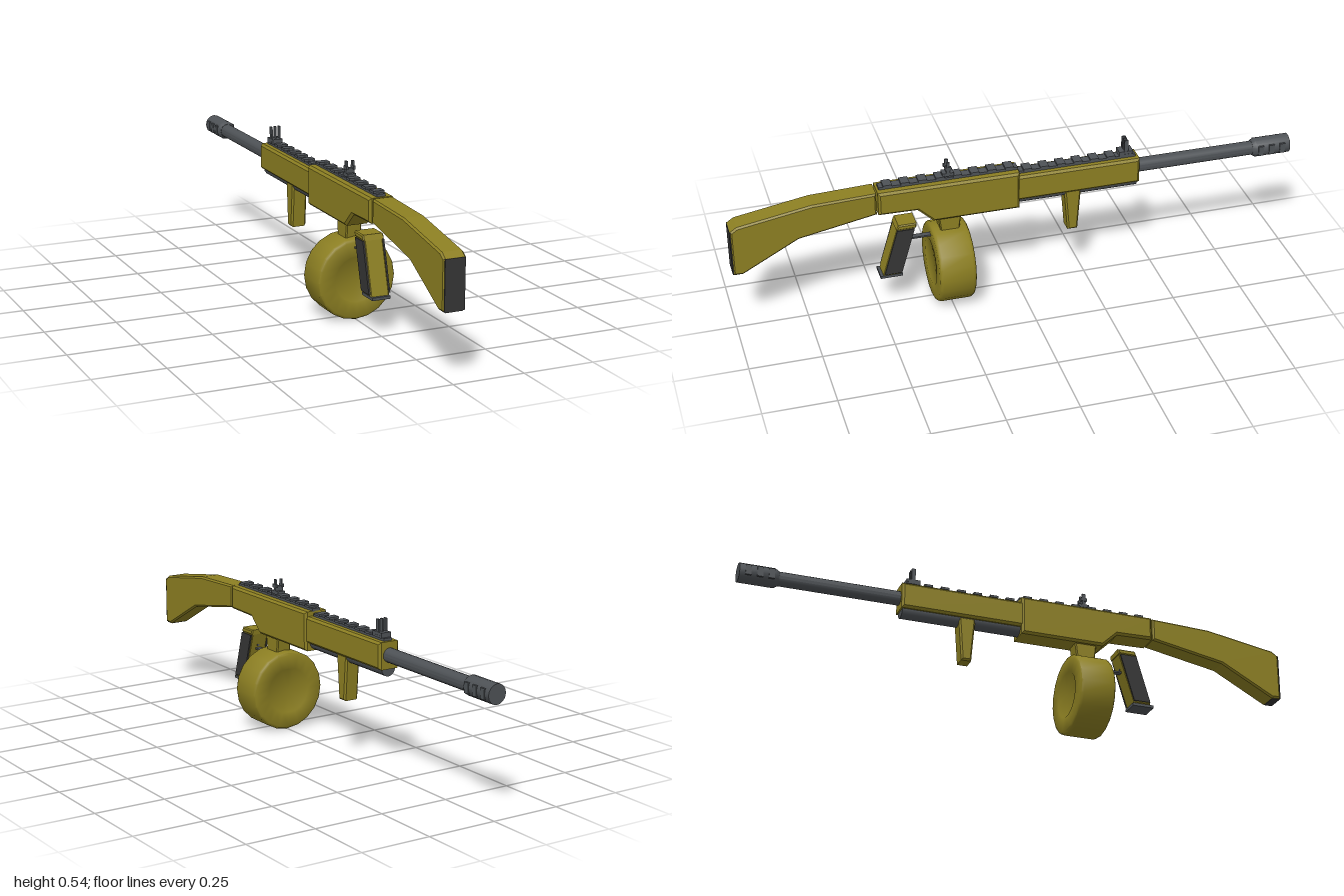
import * as THREE from 'three';
import { toCreasedNormals } from 'three/addons/utils/BufferGeometryUtils.js';

export function createModel() {
  const model = new THREE.Group();
  model.name = 'toyLauncher';
  const olive = new THREE.MeshStandardMaterial({ color: 0x8c7f22 });
  const steel = new THREE.MeshStandardMaterial({ color: 0x4e5256 });
  const rubber = new THREE.MeshStandardMaterial({ color: 0x353535 });
  olive.name = 'olive';
  steel.name = 'steel';
  rubber.name = 'rubber';

  const add = (name, geometry, material, x = 0, y = 0, z = 0) => {
    const mesh = new THREE.Mesh(geometry, material);
    mesh.name = name;
    mesh.position.set(x, y, z);
    model.add(mesh);
    return mesh;
  };
  const box = (name, material, w, h, d, x, y, z) =>
    add(name, new THREE.BoxGeometry(w, h, d), material, x, y, z);

  // Side profile of [z, y] points, extruded across x with a chamfered edge
  const slab = (name, material, points, width, bevel = 0, x = 0) => {
    const shape = new THREE.Shape(points.map(([z, y]) => new THREE.Vector2(z, y)));
    const depth = width - 2 * bevel;
    const geometry = new THREE.ExtrudeGeometry(shape, {
      depth, bevelEnabled: bevel > 0, bevelSize: bevel, bevelThickness: bevel,
      bevelOffset: -bevel, bevelSegments: 1,
    });
    geometry.translate(0, 0, -depth / 2).rotateY(-Math.PI / 2);
    return add(name, geometry, material, x);
  };

  // Lathed part around the z axis from [radius, z] points, rear to front
  const turned = (name, material, points, sides, y) => {
    const geometry = new THREE.LatheGeometry(points.map(([r, z]) => new THREE.Vector2(r, z)), sides);
    geometry.rotateX(Math.PI / 2);
    return add(name, toCreasedNormals(geometry, 0.6), material, 0, y);
  };

  // Stock with its butt pad
  slab('stock', olive, [
    [0.5, 0.39], [0.77, 0.34], [0.965, 0.235], [0.998, 0.237],
    [0.998, 0.405], [0.975, 0.421], [0.72, 0.464], [0.5, 0.472],
  ], 0.078, 0.006);
  box('buttPad', rubber, 0.07, 0.168, 0.006, 0, 0.321, 0.997);
  box('buttToe', rubber, 0.062, 0.004, 0.03, 0, 0.2355, 0.982);

  // Receiver
  slab('receiver', olive, [
    [0.0, 0.333], [0.305, 0.333], [0.36, 0.385], [0.495, 0.388],
    [0.495, 0.473], [0.0, 0.473],
  ], 0.09, 0.008);

  // Fore-end and the tube beneath it
  slab('foreEnd', olive, [
    [-0.435, 0.362], [0.01, 0.362], [0.01, 0.456], [-0.435, 0.456],
  ], 0.08, 0.008);
  turned('lowerTube', steel, [[0, -0.43], [0.027, -0.43], [0.027, 0.01], [0, 0.01]], 16, 0.363);

  // Front grip, tapering downward
  slab('frontGrip', olive, [
    [-0.215, 0.203], [-0.179, 0.203], [-0.165, 0.365], [-0.226, 0.365],
  ], 0.056, 0.006);

  // Barrel and muzzle
  turned('barrel', steel, [[0, -0.9], [0.025, -0.9], [0.025, -0.42], [0, -0.42]], 16, 0.41);
  turned('muzzle', steel, [
    [0, -1], [0.034, -1], [0.034, -0.875], [0.026, -0.862], [0, -0.862],
  ], 16, 0.41);
  for (const z of [-0.89, -0.93, -0.97]) {
    box('muzzleRib', steel, 0.07, 0.036, 0.02, 0, 0.41, z);
  }

  // Top rails with evenly spaced slats
  const rail = (name, zStart, zEnd, y, count) => {
    const length = zStart - zEnd;
    box(name, steel, 0.032, 0.012, length, 0, y + 0.004, (zStart + zEnd) / 2);
    const pitch = length / count;
    for (let i = 0; i < count; i++) {
      box(name + 'Slat', steel, 0.04, 0.008, pitch * 0.5, 0, y + 0.013, zStart - pitch * (i + 0.5));
    }
  };
  rail('rearRail', 0.487, 0.0, 0.472, 8);
  rail('frontRail', -0.005, -0.425, 0.455, 7);

  // Rear sight: a short base with two prongs
  box('rearSightBase', steel, 0.03, 0.012, 0.04, 0, 0.492, 0.245);
  box('rearSightBlock', steel, 0.02, 0.022, 0.012, 0, 0.504, 0.245);
  for (const side of [-1, 1]) {
    box('rearSightProng', steel, 0.006, 0.05, 0.012, side * 0.012, 0.514, 0.245);
    box('rearSightScrew', steel, 0.008, 0.012, 0.022, side * 0.013, 0.516, 0.245);
  }

  // Front sight: a base, two wings and a centre post
  box('frontSightBase', steel, 0.038, 0.018, 0.05, 0, 0.473, -0.39);
  for (const x of [-0.015, 0, 0.015]) {
    box('frontSightPost', steel, 0.006, 0.046, 0.014, x, 0.502, -0.39);
  }

  // Drum and its neck
  turned('drum', olive, [
    [0, 0.182], [0.08, 0.182], [0.083, 0.18], [0.132, 0.18], [0.139, 0.184], [0.143, 0.192],
    [0.143, 0.298], [0.139, 0.306], [0.132, 0.31], [0.083, 0.31], [0.08, 0.308], [0, 0.308],
  ], 20, 0.143);
  slab('drumNeck', olive, [
    [0.212, 0.275], [0.278, 0.275], [0.286, 0.34], [0.204, 0.34],
  ], 0.056, 0.004);

  // Rear grip with side panels, cap and foot plate
  slab('rearGrip', olive, [
    [0.424, 0.134], [0.486, 0.134], [0.432, 0.318], [0.368, 0.318],
  ], 0.07, 0.005);
  for (const side of [-1, 1]) {
    slab('gripPanel', rubber, [
      [0.421, 0.142], [0.482, 0.142], [0.433, 0.312], [0.372, 0.312],
    ], 0.006, 0, side * 0.036);
  }
  slab('gripCap', olive, [
    [0.366, 0.314], [0.436, 0.314], [0.428, 0.332], [0.364, 0.332],
  ], 0.076, 0.004);
  box('gripFoot', steel, 0.066, 0.01, 0.078, 0, 0.13, 0.457);

  // Thin guard between the grip and the drum, with the trigger
  box('guard', steel, 0.02, 0.006, 0.085, 0, 0.256, 0.35);
  box('trigger', steel, 0.01, 0.05, 0.006, 0, 0.29, 0.385);

  return model;
}
